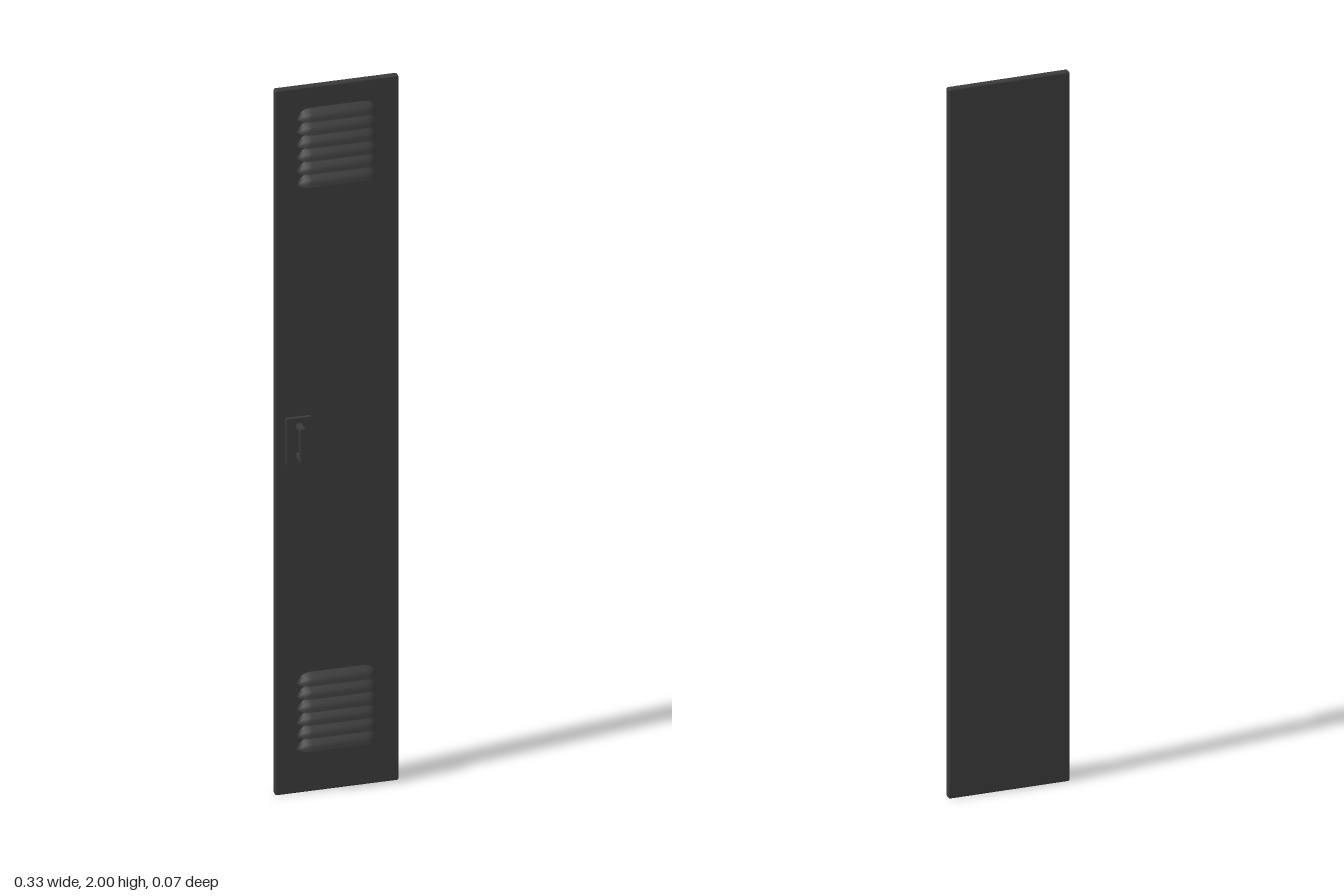
import * as THREE from 'three';
import { RoundedBoxGeometry } from 'three/addons/geometries/RoundedBoxGeometry.js';
import { toCreasedNormals } from 'three/addons/utils/BufferGeometryUtils.js';

const FACE_Z = -0.014; // front face of the door panel

// Hooded vent slat: one closed profile scaled down towards both ends
function louverGeometry() {
  const profile = [[0.03, 0], [0.026, 0.012], [0.019, 0.021], [0.009, 0.027], [0.001, 0.028],
    [0, 0.024], [0.007, 0.021], [0.011, 0.012], [0.012, 0]]; // y, z
  const half = [[0.107, 0.02], [0.104, 0.3], [0.099, 0.58], [0.092, 0.82], [0.083, 0.95], [0.072, 1]]; // x, scale
  const sections = [...half.map(([x, s]) => [-x, s]), ...half.slice().reverse()];
  const positions = [], index = [], n = profile.length;
  sections.forEach(([x, s], i) => {
    profile.forEach(([y, z]) => positions.push(x, y * s, z * s));
    if (i === sections.length - 1) return;
    for (let j = 0; j < n - 1; j++) {
      const a = i * n + j, b = a + n;
      index.push(a, a + 1, b, b, a + 1, b + 1);
    }
  });
  const geometry = new THREE.BufferGeometry();
  geometry.setAttribute('position', new THREE.Float32BufferAttribute(positions, 3));
  geometry.setIndex(index);
  return toCreasedNormals(geometry, 0.7);
}

// Squared pull handle, drawn from the side and extruded across x
function handleGeometry() {
  const shape = new THREE.Shape([[-0.008, 0.957], [0.031, 0.957], [0.031, 1.052], [-0.008, 1.052],
    [-0.008, 1.04], [0.019, 1.04], [0.019, 0.969], [-0.008, 0.969]].map(p => new THREE.Vector2(...p)));
  const geometry = new THREE.ExtrudeGeometry(shape, {
    depth: 0.013, bevelEnabled: true, bevelSize: 0.001, bevelThickness: 0.001, bevelSegments: 1,
  });
  return geometry.rotateY(-Math.PI / 2).translate(-0.098, 0, 0);
}

export function createModel() {
  const group = new THREE.Group();
  const material = new THREE.MeshStandardMaterial({ color: 0x3a3a3a, side: THREE.DoubleSide });
  const add = (name, geometry, x = 0, y = 0, z = 0, parent = group) => {
    const mesh = new THREE.Mesh(geometry, material);
    mesh.name = name;
    mesh.position.set(x, y, z);
    parent.add(mesh);
    return mesh;
  };

  // Door leaf with softened edges
  add('doorPanel', new RoundedBoxGeometry(0.33, 2, 0.02, 2, 0.005), 0, 1, -0.024);

  // Latch plate and pull
  add('latchPlate', new RoundedBoxGeometry(0.066, 0.134, 0.012, 2, 0.002), -0.105, 1.002, -0.012);
  add('pullHandle', handleGeometry());

  // Vent groups near the top and bottom
  const louver = louverGeometry();
  for (const [name, base] of [['upperVents', 1.725], ['lowerVents', 0.125]]) {
    const vents = new THREE.Group();
    vents.name = name;
    for (let i = 0; i < 6; i++) add('louver', louver, 0, base + i * 0.037, FACE_Z, vents);
    group.add(vents);
  }
  return group;
}
